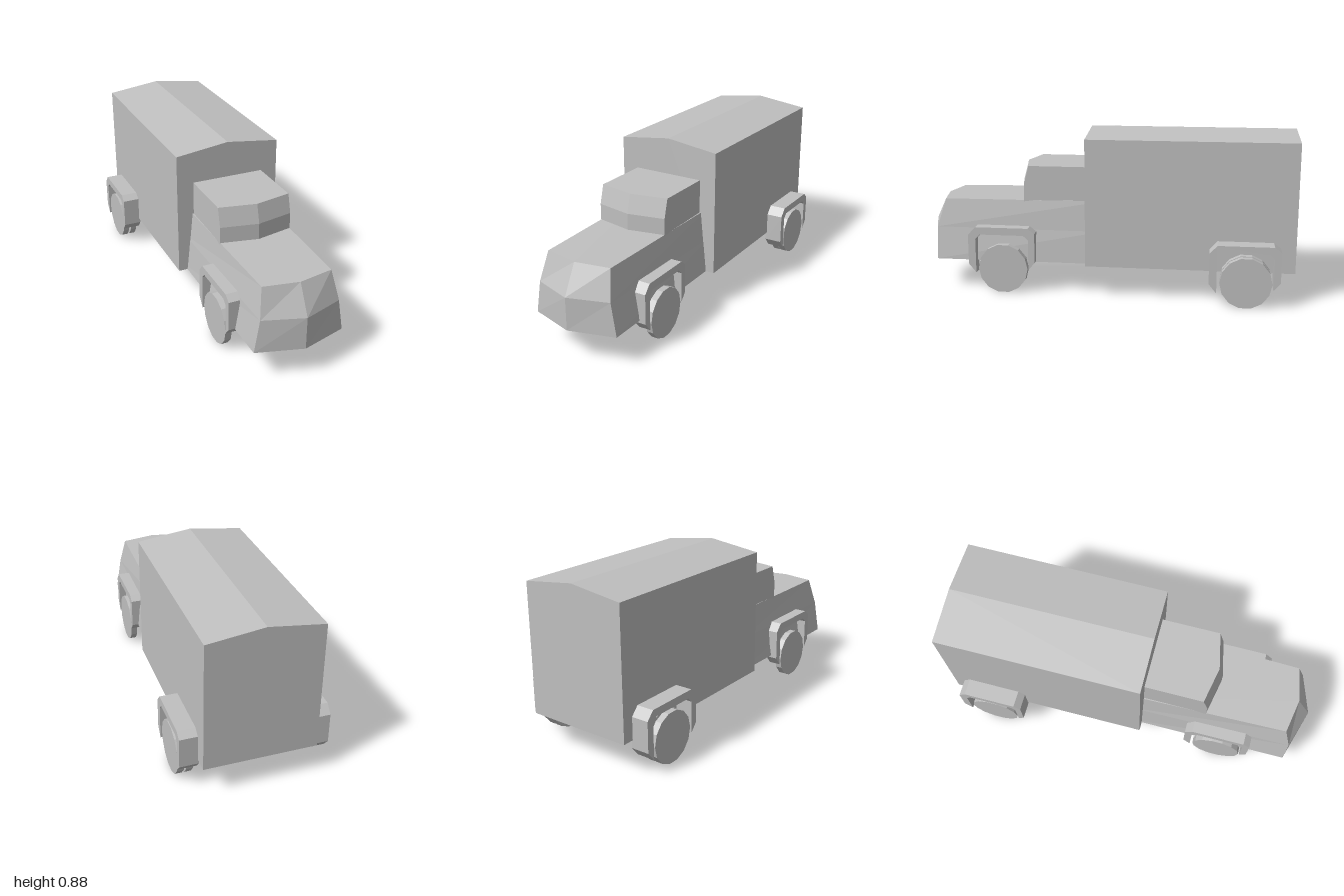
import * as THREE from 'three';

const grey = new THREE.MeshStandardMaterial({ color: 0xc0c0c0, side: THREE.DoubleSide });
grey.name = 'plain grey';

// Flat-faced open shell through equal-length sections, with optional fan caps
function loft(sections, capStart, capEnd) {
  const pos = [];
  const tri = (a, b, c) => pos.push(...a, ...b, ...c);
  const fan = (s) => {
    for (let i = 1; i < s.length - 1; i++) tri(s[0], s[i], s[i + 1]);
  };
  for (let k = 0; k < sections.length - 1; k++) {
    const s = sections[k], t = sections[k + 1];
    for (let i = 0; i < s.length - 1; i++) {
      tri(s[i], s[i + 1], t[i + 1]);
      tri(s[i], t[i + 1], t[i]);
    }
  }
  if (capStart) fan([...sections[0]].reverse());
  if (capEnd) fan(sections[sections.length - 1]);
  const g = new THREE.BufferGeometry();
  g.setAttribute('position', new THREE.Float32BufferAttribute(pos, 3));
  g.computeVertexNormals();
  return g;
}

// Symmetric plan outline with a pointed nose: rear, front corner, centre, mirrored
function noseSection({ y, rearY = y, rearX, frontX, rearZ, sideZ, midZ }) {
  return [
    [-rearX, rearY, rearZ], [-frontX, y, sideZ], [0, y, midZ],
    [frontX, y, sideZ], [rearX, rearY, rearZ],
  ];
}

function part(parent, name, geometry) {
  const m = new THREE.Mesh(geometry, grey);
  m.name = name;
  parent.add(m);
  return m;
}

// Chamfered arch in (z, y) around the axle, swept across x
function fenderGeometry(x0, x1, dy) {
  const pts = [
    [0.192, 0.155], [0.192, 0.316], [0.152, 0.36], [-0.137, 0.36], [-0.173, 0.332], [-0.173, 0.172],
    [-0.138, 0.13], [-0.138, 0.295], [-0.112, 0.32], [0.127, 0.32], [0.152, 0.293], [0.152, 0.106],
  ];
  const shape = new THREE.Shape(pts.map(([z, y]) => new THREE.Vector2(z, y + dy)));
  const g = new THREE.ExtrudeGeometry(shape, { depth: x1 - x0, bevelEnabled: false });
  return g.rotateY(-Math.PI / 2).translate(x1, 0, 0);
}

function wheelGeometry() {
  const g = new THREE.CylinderGeometry(0.135, 0.135, 0.035, 14).rotateZ(Math.PI / 2).toNonIndexed();
  g.computeVertexNormals();
  return g;
}

export function createModel() {
  const model = new THREE.Group();
  model.name = 'van';

  // Cargo box, open underneath, with a shallow ridged roof
  const profile = [[-0.29, 0.167], [-0.29, 0.848], [0, 0.885], [0.29, 0.848], [0.29, 0.167]];
  part(model, 'cargoBox', loft([0.1, -1].map((z) => profile.map(([x, y]) => [x, y, z])), true, true));

  // Hood, open underneath and at the rear
  const rearZ = 0.02;
  part(model, 'hood', loft([
    noseSection({ y: 0.167, rearX: 0.241, frontX: 0.241, rearZ, sideZ: 0.93, midZ: 1 }),
    noseSection({ y: 0.342, rearX: 0.223, frontX: 0.212, rearZ, sideZ: 0.93, midZ: 1 }),
    noseSection({ y: 0.495, rearY: 0.505, rearX: 0.207, frontX: 0.186, rearZ, sideZ: 0.885, midZ: 0.92 }),
  ], false, true));

  // Cab with a leaning pointed windscreen
  const cab = { rearX: 0.198, frontX: 0.198, rearZ: 0.08 };
  part(model, 'cab', loft([
    noseSection({ ...cab, y: 0.49, sideZ: 0.445, midZ: 0.485 }),
    noseSection({ ...cab, y: 0.587, sideZ: 0.445, midZ: 0.485 }),
    noseSection({ ...cab, y: 0.687, sideZ: 0.418, midZ: 0.458 }),
  ], false, true));

  // Fenders and wheels; the right side is the left side turned half round
  const axles = [
    { name: 'front', z: 0.55, x0: 0.21, x1: 0.277, dy: 0, wheels: [0.257] },
    { name: 'rear', z: -0.748, x0: 0.284, x1: 0.382, dy: -0.03, wheels: [0.314, 0.36] },
  ];
  for (const a of axles) {
    for (const [side, turn] of [['Left', 0], ['Right', Math.PI]]) {
      const corner = new THREE.Group();
      corner.name = a.name + side + 'Corner';
      corner.position.z = a.z;
      corner.rotation.y = turn;
      model.add(corner);
      part(corner, a.name + side + 'Fender', fenderGeometry(a.x0, a.x1, a.dy));
      for (const x of a.wheels) {
        part(corner, a.name + side + 'Wheel', wheelGeometry()).position.set(x, 0.132, 0.003);
      }
    }
  }
  return model;
}
